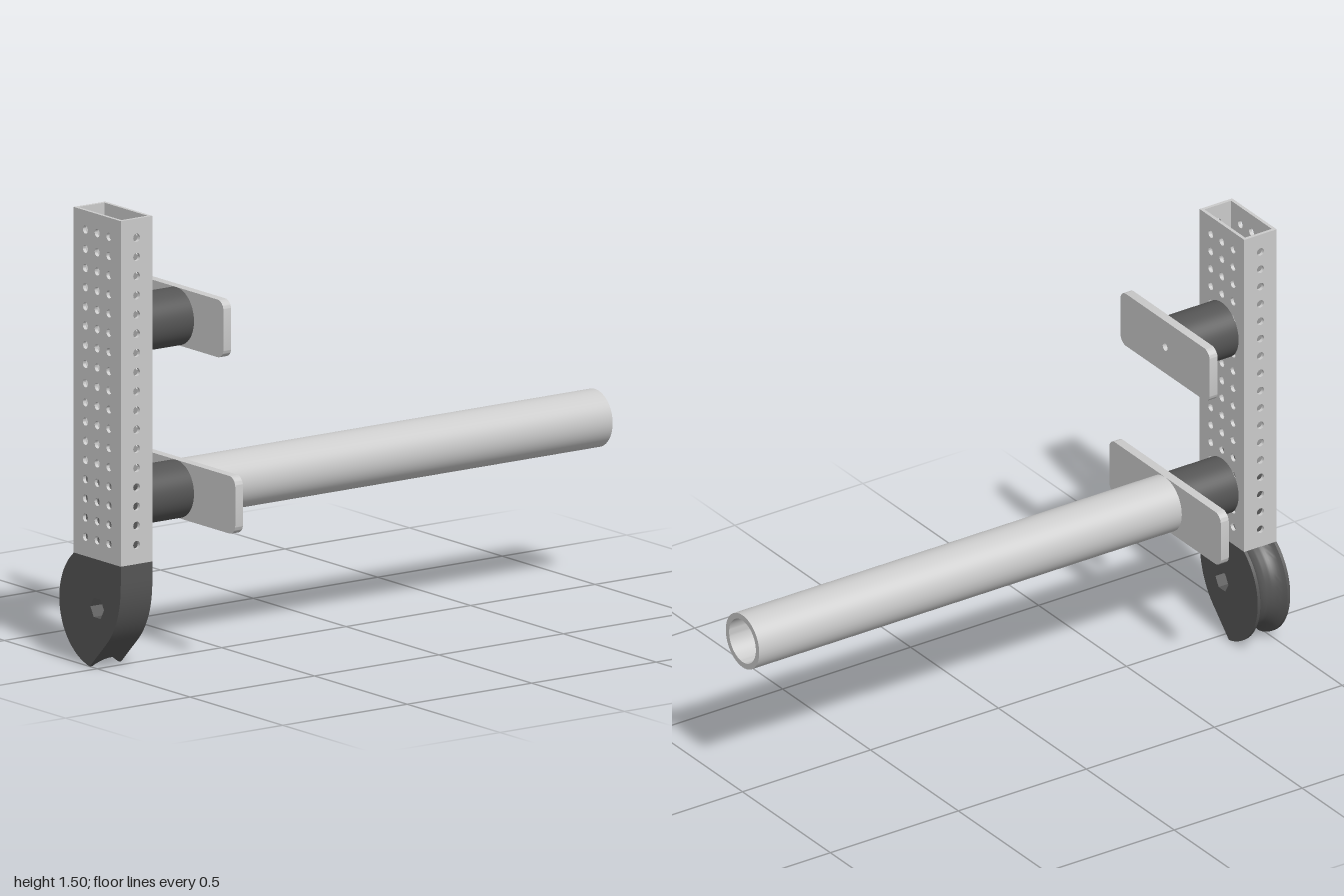
import * as THREE from 'three';
import { toCreasedNormals } from 'three/addons/utils/BufferGeometryUtils.js';

const PITCH = 0.0635, BASE = 0.361, HOLE = 0.0135;
const W = 0.254, D = 0.127, H = 1.143, WALL = 0.0115;
const ZC = 1 - D / 2; // depth centre of the upright

const grey = new THREE.MeshStandardMaterial({ color: 0xcccccc });
const dark = new THREE.MeshStandardMaterial({ color: 0x555555 });

function circle(x, y, r) {
  const p = new THREE.Path();
  p.absarc(x, y, r, 0, Math.PI * 2, true);
  return p;
}

function rect(w, h, r = 0) {
  const s = new THREE.Shape(), x = w / 2, y = h / 2;
  if (!r) {
    s.moveTo(-x, -y).lineTo(x, -y).lineTo(x, y).lineTo(-x, y);
    return s;
  }
  s.absarc(x - r, -y + r, r, -Math.PI / 2, 0);
  s.absarc(x - r, y - r, r, 0, Math.PI / 2);
  s.absarc(-x + r, y - r, r, Math.PI / 2, Math.PI);
  s.absarc(-x + r, -y + r, r, Math.PI, Math.PI * 1.5);
  return s;
}

function extrude(shape, depth, curveSegments = 10) {
  const g = new THREE.ExtrudeGeometry(shape, { depth, bevelEnabled: false, curveSegments });
  g.translate(0, 0, -depth / 2);
  return toCreasedNormals(g, 0.6);
}

function add(parent, name, geometry, material, x, y, z) {
  const m = new THREE.Mesh(geometry, material);
  m.name = name;
  m.position.set(x, y, z);
  parent.add(m);
  return m;
}

// Perforated wall of the upright
function panel(width, columns) {
  const s = rect(width, H);
  for (let row = 1; row <= 17; row++)
    for (const x of columns) s.holes.push(circle(x, row * PITCH - H / 2, HOLE));
  return extrude(s, WALL, 8);
}

// Block that plugs the foot into the upright, with half holes along its top edge
function plugGeometry() {
  const w = W / 2 - WALL - 0.001, top = 4 * PITCH;
  const s = new THREE.Shape();
  s.moveTo(-w, 0).lineTo(w, 0).lineTo(w, top);
  for (const x of [PITCH, 0, -PITCH]) {
    s.lineTo(x + HOLE, top);
    s.absarc(x, top, HOLE, 0, -Math.PI, true);
  }
  s.lineTo(-w, top);
  for (let row = 1; row <= 3; row++)
    for (const x of [-PITCH, 0, PITCH]) s.holes.push(circle(x, row * PITCH, HOLE));
  return extrude(s, D - 2 * WALL - 0.002, 8);
}

// Cam-shaped foot: outline lofted through z, its round edge hollowed by a groove
function footGeometry() {
  const R = 0.204, cy = 0.2, half = 0.053, depth = 0.03, ARC = 40;
  const rho = (half * half + depth * depth) / (2 * depth);
  const stations = [-D / 2];
  for (let i = 0; i <= 14; i++) stations.push(half * (i / 7 - 1));
  stations.push(D / 2);
  const flank = new THREE.QuadraticBezierCurve(
    new THREE.Vector2(0.05, 0.09), new THREE.Vector2(0.127, 0.168), new THREE.Vector2(0.127, 0.3)).getPoints(14);
  flank.push(new THREE.Vector2(0.127, BASE));
  const hex = [];
  for (let i = 0; i < 6; i++) {
    const a = -i * Math.PI / 3;
    hex.push(new THREE.Vector2(0.037 * Math.cos(a), cy + 0.037 * Math.sin(a)));
  }
  const outline = (z) => {
    const groove = Math.abs(z) > half ? 0 : Math.sqrt(rho * rho - z * z) - (rho - depth);
    const r = R - Math.max(groove, 0);
    // the arc runs from the top face to the straight lower flank
    const yEnd = (0.48 - Math.sqrt(Math.max(0, 0.2304 - 8 * (0.0416 - r * r)))) / 4;
    const a0 = Math.PI - Math.asin((BASE - cy) / r);
    const a1 = Math.atan2(yEnd - cy, yEnd - 0.04) + Math.PI * 2;
    const pts = [];
    for (let i = 0; i <= ARC; i++) {
      const a = a0 + (a1 - a0) * i / ARC;
      pts.push(new THREE.Vector2(r * Math.cos(a), cy + r * Math.sin(a)));
    }
    return pts.concat(flank);
  };
  const pos = [], index = [];
  const n = ARC + 1 + flank.length, ring = n + 6;
  for (const z of stations)
    for (const p of [...outline(z), ...hex]) pos.push(p.x, p.y, z);
  for (let j = 0; j < stations.length - 1; j++)
    for (let i = 0; i < ring; i++) {
      const next = i < n ? (i + 1) % n : n + (i - n + 1) % 6;
      const a = j * ring + i, b = j * ring + next;
      index.push(a, b, b + ring, a, b + ring, a + ring);
    }
  const last = (stations.length - 1) * ring;
  for (const [a, b, c] of THREE.ShapeUtils.triangulateShape(outline(D / 2), [hex]))
    index.push(last + a, last + b, last + c, a, c, b);
  const g = new THREE.BufferGeometry();
  g.setAttribute('position', new THREE.Float32BufferAttribute(pos, 3));
  g.setIndex(index);
  return toCreasedNormals(g, 0.5);
}

function ringGeometry(outer, inner, length) {
  const s = new THREE.Shape();
  s.absarc(0, 0, outer, 0, Math.PI * 2);
  s.holes.push(circle(0, 0, inner));
  return extrude(s, length, 28);
}

export function createModel() {
  const model = new THREE.Group();
  model.name = 'bracketAssembly';

  // Hollow perforated upright
  const upright = new THREE.Group();
  upright.name = 'upright';
  model.add(upright);
  const wide = panel(W, [-PITCH, 0, PITCH]), narrow = panel(D - 2 * WALL, [0]);
  const yMid = BASE + H / 2;
  for (const s of [1, -1]) {
    add(upright, s > 0 ? 'frontWall' : 'backWall', wide, grey, 0, yMid, ZC + s * (D - WALL) / 2);
    add(upright, s > 0 ? 'leftWall' : 'rightWall', narrow, grey, s * (W - WALL) / 2, yMid, ZC).rotation.y = Math.PI / 2;
  }

  // Foot and its plug
  add(model, 'foot', footGeometry(), dark, 0, 0, ZC);
  add(model, 'footPlug', plugGeometry(), dark, 0, BASE, ZC);

  // Spacers and cross plates
  const spacer = ringGeometry(0.0952, HOLE, 0.191);
  const crossbars = [['lower', 3, 0.635], ['upper', 12, 0.508]];
  for (const [name, row, width] of crossbars) {
    const y = BASE + row * PITCH;
    add(model, name + 'Spacer', spacer, dark, 0, y, 1 - D - 0.0955);
    const plate = rect(width, 0.1905, 0.032);
    plate.holes.push(circle(0, 0, HOLE));
    add(model, name + 'Plate', extrude(plate, 0.031), grey, 0, y, 0.6665);
  }

  // Long pipe reaching backwards
  add(model, 'pipe', ringGeometry(0.0952, 0.076, 1.651), grey, 0, BASE + 3 * PITCH, -0.1745);
  return model;
}
